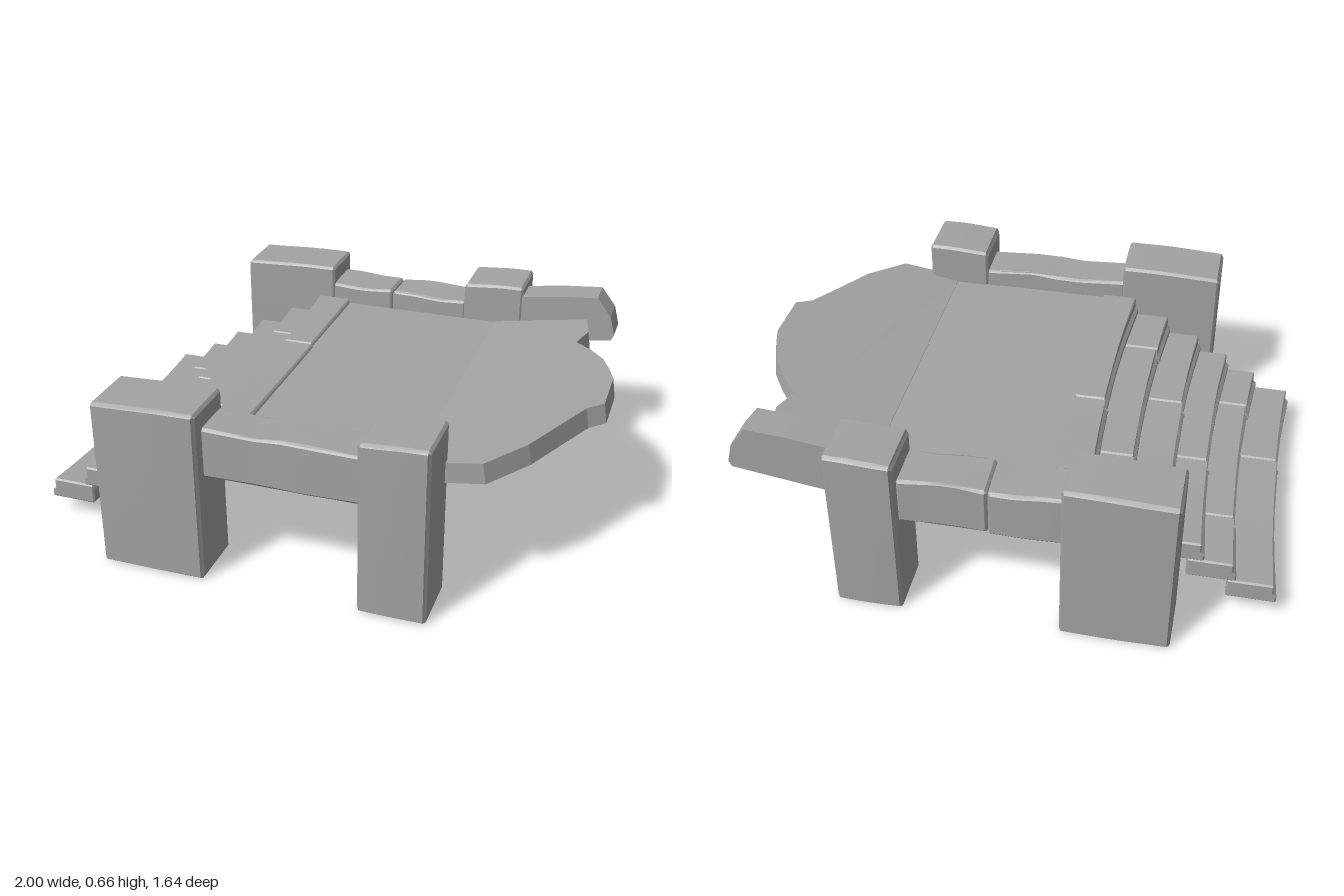
import * as THREE from 'three';
import { toCreasedNormals } from 'three/addons/utils/BufferGeometryUtils.js';

const stone = new THREE.MeshStandardMaterial({ color: 0xa3a3a3 });
stone.name = 'stone grey';

// Hewn block between two corners: chamfered edges, then an optional warp(p, u, v, w), u/v/w in -1..1
function block(name, [x0, y0, z0], [x1, y1, z1], warp, chamfer = 0.01) {
  const size = [x1 - x0, y1 - y0, z1 - z0];
  const mid = [(x0 + x1) / 2, (y0 + y1) / 2, (z0 + z1) / 2];
  const n = 6;
  const geo = new THREE.BoxGeometry(2, 2, 2, n, n, n);
  const pos = geo.attributes.position;
  const p = new THREE.Vector3();
  for (let i = 0; i < pos.count; i++) {
    const c = [pos.getX(i), pos.getY(i), pos.getZ(i)];
    const edges = c.filter((t) => Math.abs(t) > 0.99).length;
    const q = c.map((t, k) => {
      const half = size[k] / 2, a = Math.abs(t), s = Math.sign(t);
      if (a > 0.99) return mid[k] + s * (half - (edges > 1 ? chamfer * 0.45 : 0));
      if (a > 0.6) return mid[k] + s * (half - chamfer);
      return mid[k] + t * half;
    });
    p.set(...q);
    if (warp) warp(p, ...c);
    pos.setXYZ(i, p.x, p.y, p.z);
  }
  const mesh = new THREE.Mesh(toCreasedNormals(geo, 0.35), stone);
  mesh.name = name;
  return mesh;
}

// Profile in x/y pushed along z
function slab(name, points, z0, z1) {
  const shape = new THREE.Shape(points.map(([x, y]) => new THREE.Vector2(x, y)));
  const geo = new THREE.ExtrudeGeometry(shape, { depth: z1 - z0, bevelEnabled: false });
  geo.translate(0, 0, z0);
  const mesh = new THREE.Mesh(geo, stone);
  mesh.name = name;
  return mesh;
}

// One stair block: front edge hollowed in plan, underside and back softly rounded
function stairBlock(i, x, y, z0, z1) {
  const hollow = (z) => 0.028 * (1 - (z / 0.585) ** 2);
  const width = i === 5 ? 0.14 : 0.17, height = 0.078;
  const mesh = block('stairBlock', [x, y, z0], [x + width, y + height, z1], (p, u, v) => {
    if (u < 0) p.x += hollow(p.z) * -u + (v < 0 ? -0.008 : 0.004);
    p.y -= 0.006 * (1 - (p.z / 0.585) ** 2);
  }, 0.006);
  const { position, normal } = mesh.geometry.attributes;
  const nrm = new THREE.Vector3();
  for (let k = 0; k < position.count; k++) {
    nrm.fromBufferAttribute(normal, k);
    if (nrm.x < 0.8 && nrm.y > -0.8) continue;
    const u = (position.getX(k) - x - width / 2) / (width / 2);
    const v = (position.getY(k) - y - height / 2) / (height / 2);
    nrm.set(Math.max(u, nrm.x * 0.6), nrm.x > 0.8 ? v * 0.8 : -1, 0).normalize();
    normal.setXYZ(k, nrm.x, nrm.y, nrm.z);
  }
  return mesh;
}

export function createModel() {
  const model = new THREE.Group();
  model.name = 'brokenStoneBridge';

  // Four standing posts, outer faces swelling a little
  for (const s of [1, -1]) {
    const side = s > 0 ? 'front' : 'back';
    const za = s > 0 ? 0.585 : -0.81, zb = s > 0 ? 0.81 : -0.592;
    const swell = (p, u, v, w) => {
      if (w * s > 0.9) p.z += s * 0.01 * (1 - u * u) * (1 - v * v * 0.5);
      if (v > 0.6) p.y += 0.007 * (1 - (u - 0.6) ** 2);
    };
    model.add(
      block(side + 'StairPost', [-0.655, 0, za], [-0.265, 0.644, zb], swell),
      block(side + 'EndPost', [0.3, 0, za], [0.543, 0.657, zb], swell)
    );
  }

  // Parapet rails between the posts
  const rough = (p, u, v, w) => {
    if (v > 0.6) p.y += 0.006 * Math.sin(p.x * 17 + p.z * 9);
    if (Math.abs(w) > 0.9) p.z += 0.004 * Math.sin(p.x * 13);
  };
  model.add(
    block('frontRail', [-0.275, 0.388, 0.59], [0.305, 0.575, 0.757], rough),
    block('backRailA', [-0.275, 0.388, -0.778], [-0.012, 0.577, -0.6], rough),
    block('backRailB', [-0.01, 0.388, -0.772], [0.305, 0.573, -0.6], rough)
  );

  // Broken rail stub beyond the back end post
  model.add(slab('brokenRail',
    [[0.53, 0.43], [0.91, 0.487], [0.92, 0.51], [0.9, 0.585], [0.842, 0.66], [0.7, 0.648], [0.53, 0.625]],
    -0.722, -0.598));

  // Level deck
  model.add(slab('deck', [[-0.21, 0.43], [0.432, 0.43], [0.432, 0.503], [-0.21, 0.503]], -0.59, 0.59));

  // Tilted deck end with a ragged broken edge
  const outline = [[0.432, -0.6], [0.82, -0.6], [0.845, -0.47], [0.815, -0.37], [0.885, -0.29], [0.94, -0.21],
    [0.975, -0.12], [1, -0.04], [1, 0.165], [0.945, 0.205], [0.87, 0.345], [0.8, 0.48], [0.68, 0.62], [0.5, 0.62],
    [0.5, 0.59], [0.432, 0.59]];
  const shape = new THREE.Shape(outline.map(([x, z]) => new THREE.Vector2(x, -z)));
  const geo = new THREE.ExtrudeGeometry(shape, { depth: 0.075, bevelEnabled: false });
  geo.rotateX(-Math.PI / 2);
  const pos = geo.attributes.position;
  for (let i = 0; i < pos.count; i++) {
    const x = pos.getX(i), y = pos.getY(i);
    const top = y > 0.03 && x > 0.45 ? 0.012 : 0;
    pos.setXYZ(i, x - top, y + 0.43 + (x - 0.432) * 0.152, pos.getZ(i));
  }
  geo.computeVertexNormals();
  const brokenDeck = new THREE.Mesh(geo, stone);
  brokenDeck.name = 'brokenDeck';
  model.add(brokenDeck);

  // Six stairs, each laid from two or three blocks
  const stairs = new THREE.Group();
  stairs.name = 'stairs';
  const starts = [-0.992, -0.845, -0.728, -0.605, -0.468, -0.335];
  const joints = [[0.115], [-0.335, 0.345], [-0.12], [0.115], [-0.335, 0.345], [-0.12]];
  starts.forEach((x, i) => {
    const cuts = [-0.588, ...joints[i], 0.582];
    for (let k = 0; k < cuts.length - 1; k++) {
      stairs.add(stairBlock(i, x + (k % 2) * 0.005, 0.068 + i * 0.0755, cuts[k], cuts[k + 1] - 0.002));
    }
  });
  model.add(stairs);
  return model;
}
